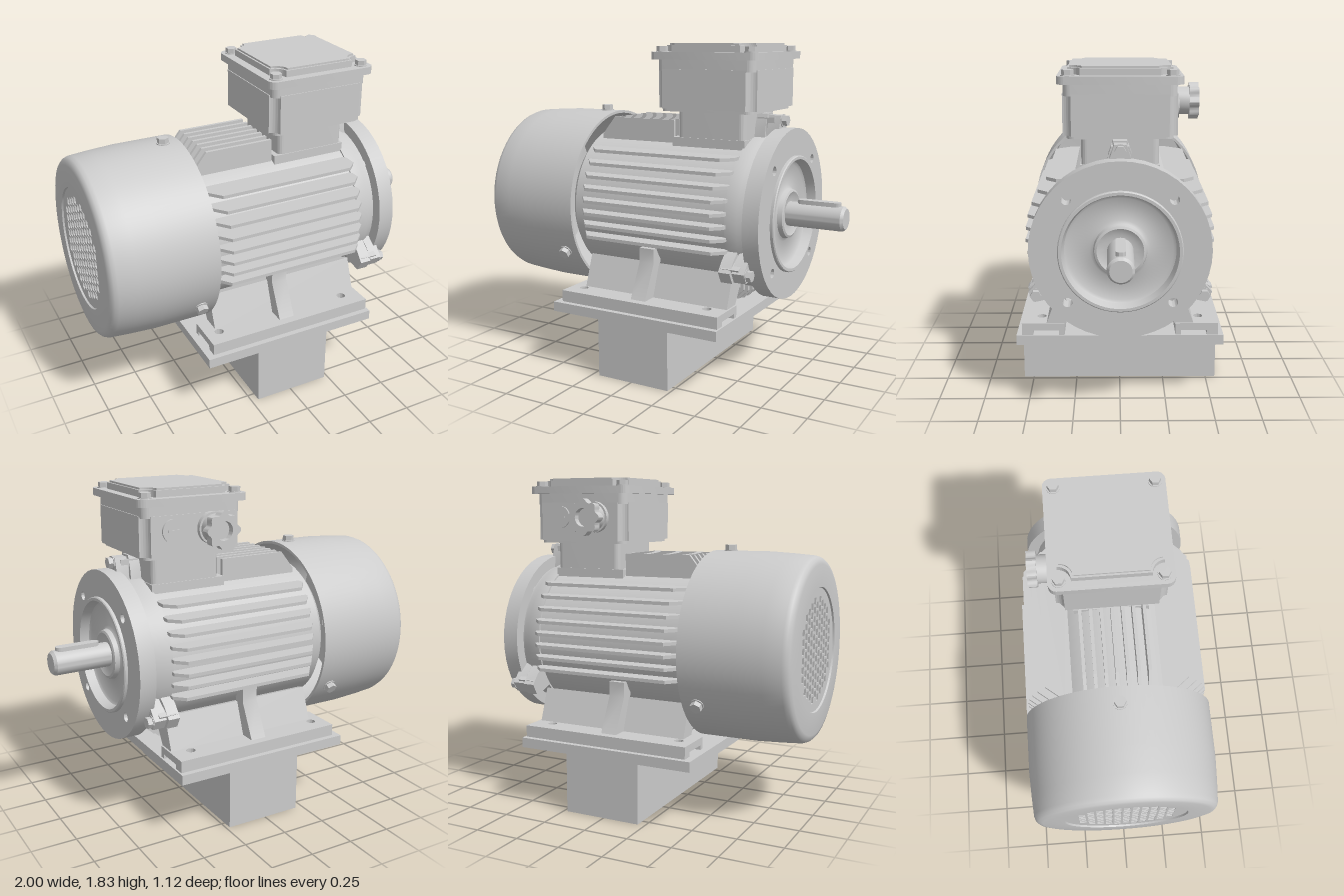
import * as THREE from 'three';
import { toCreasedNormals } from 'three/addons/utils/BufferGeometryUtils.js';

const MAT = new THREE.MeshStandardMaterial({ color: 0xcccccc, side: THREE.DoubleSide });
const AXIS = 0.915; // height of the shaft line
const V = (p) => p.map(([a, b]) => new THREE.Vector2(a, b));

function add(parent, name, geo, x = 0, y = 0, z = 0) {
  const m = new THREE.Mesh(toCreasedNormals(geo, 0.6), MAT);
  m.name = name;
  m.position.set(x, y, z);
  parent.add(m);
  return m;
}
const box = (x0, x1, y0, y1, z0, z1) =>
  new THREE.BoxGeometry(x1 - x0, y1 - y0, z1 - z0).translate((x0 + x1) / 2, (y0 + y1) / 2, (z0 + z1) / 2);
// [x, radius] profile turned about the x axis
const turned = (pts, seg = 72) =>
  new THREE.LatheGeometry(V(pts.map(([x, r]) => [r, x])), seg).rotateZ(-Math.PI / 2);
const extrude = (shape, depth) =>
  new THREE.ExtrudeGeometry(shape, { depth, bevelEnabled: false, curveSegments: 24 });
// (x, z) plan raised along y / (z, y) section drawn out along x
const plan = (shape, y0, y1) => extrude(shape, y1 - y0).rotateX(-Math.PI / 2).translate(0, y0, 0);
const section = (shape, x0, x1) => extrude(shape, x1 - x0).rotateY(Math.PI / 2).translate(x0, 0, 0);
const poly = (pts) => new THREE.Shape(V(pts));
const circle = (x, y, r, Type = THREE.Path) => new Type().absarc(x, y, r, 0, Math.PI * 2);
function roundRect(w, d, r) {
  const s = new THREE.Shape(), a = w / 2, b = d / 2, q = Math.PI / 2;
  s.absarc(a - r, b - r, r, 0, q).absarc(-a + r, b - r, r, q, 2 * q);
  s.absarc(-a + r, -b + r, r, 2 * q, 3 * q).absarc(a - r, -b + r, r, 3 * q, 4 * q);
  return s;
}
// rectangle with concave quarter-round corners
function scooped(w, d, r) {
  const s = new THREE.Shape(), a = w / 2, b = d / 2, q = Math.PI / 2;
  s.moveTo(a, b - r).absarc(a, b, r, 3 * q, 2 * q, true);
  s.lineTo(-a + r, b).absarc(-a, b, r, 4 * q, 3 * q, true);
  s.lineTo(-a, -b + r).absarc(-a, -b, r, q, 0, true);
  s.lineTo(a - r, -b).absarc(a, -b, r, 2 * q, q, true);
  return s;
}
// washer and hexagon head standing on y = 0
function bolt(parent, name, r, h) {
  const g = new THREE.Group();
  g.name = name;
  add(g, 'washer', new THREE.CylinderGeometry(r * 1.15, r * 1.15, h * 0.2, 24), 0, h * 0.1);
  add(g, 'hexHead', new THREE.CylinderGeometry(r, r, h * 0.8, 6), 0, h * 0.6);
  parent.add(g);
  return g;
}

function buildBase(root) {
  add(root, 'pedestalBlock', box(-0.21, 0.23, 0, 0.33, -0.555, 0.555));
  const plate = poly([[-0.51, -0.56], [0.52, -0.56], [0.52, 0.56], [-0.51, 0.56]]);
  for (const x of [-0.39, 0.4]) for (const z of [-0.43, 0.43]) {
    const slot = new THREE.Path();
    slot.absarc(x, z + 0.045, 0.025, 0, Math.PI).absarc(x, z - 0.045, 0.025, Math.PI, 2 * Math.PI);
    plate.holes.push(slot);
  }
  add(root, 'mountingPlate', plan(plate, 0.33, 0.385));

  for (const s of [-1, 1]) {
    const foot = new THREE.Group();
    foot.name = s > 0 ? 'frontFoot' : 'backFoot';
    const pts = (p) => poly(p.map(([z, y]) => [-s * z, y]));
    const pad = poly([[-0.47, -s * 0.3], [0.51, -s * 0.3], [0.51, -s * 0.53], [-0.47, -s * 0.53]]);
    for (const x of [-0.39, 0.4]) pad.holes.push(circle(x, -s * 0.43, 0.025));
    add(foot, 'footPad', plan(pad, 0.41, 0.45));
    for (const [a, b] of [[0.3, 0.33], [0.47, 0.53]])
      add(foot, 'padRunner', section(pts([[a, 0.385], [b, 0.385], [b, 0.41], [a, 0.41]]), -0.47, 0.51));
    add(foot, 'footWall', section(pts([[0.3, 0.44], [0.4, 0.44], [0.33, 0.63], [0.24, 0.6], [0.24, 0.54]]), -0.4, 0.5));
    add(foot, 'footRib', section(pts([[0.36, 0.44], [0.485, 0.45], [0.39, 0.64], [0.39, 0.72], [0.3, 0.72]]), -0.04, 0.05));
    root.add(foot);
  }
}

function buildHousing(m) {
  add(m, 'housingCore', turned([[-0.48, 0], [-0.48, 0.38], [-0.45, 0.41], [0.5, 0.41], [0.5, 0]]));

  // cooling fins with bevelled ends; angle turns them about the shaft line
  const fin = (name, d, outer, x1, c1, angle) => {
    const inner = Math.sqrt(0.41 ** 2 - d * d) - 0.03;
    const s = poly([[-0.41, inner], [-0.41, outer - 0.1], [-0.33, outer], [x1 - c1, outer], [x1, outer - c1], [x1, inner]]);
    const g = extrude(s, 0.018).translate(0, 0, d - 0.009).rotateX(angle);
    add(m, name, g);
  };
  for (let i = 0; i < 8; i++) {
    const d = -0.15 + i * 0.0675;
    const outer = Math.sqrt(0.502 ** 2 - d * d);
    fin('frontFin', -d, outer, 0.5, 0.055, Math.PI / 2);
    fin('backFin', d, outer, 0.5, 0.055, -Math.PI / 2);
  }
  for (let i = -3; i <= 3; i++) fin('topFin', i * 0.057, 0.495, 0.06, 0.003, 0);
  for (let i = -4; i <= 4; i++) fin('bottomFin', i * 0.06, Math.sqrt(0.5 ** 2 - (i * 0.06) ** 2), 0.5, 0.055, Math.PI);
}

function buildFanCover(m) {
  add(m, 'fanCover', turned([[-0.985, 0.33], [-1, 0.335], [-1, 0.455], [-0.994, 0.478], [-0.98, 0.492], [-0.96, 0.499],
    [-0.86, 0.507], [-0.72, 0.515], [-0.41, 0.515], [-0.41, 0.5], [-0.72, 0.5], [-0.97, 0.465], [-0.985, 0.33]], 96));
  // perforated grille, staggered square holes
  const disc = circle(0, 0, 0.34, THREE.Shape), p = 0.048, h = 0.018;
  for (let i = -6; i <= 6; i++) for (let j = -6; j <= 6; j++) {
    const z = i * p, y = (j + (i % 2 ? 0.5 : 0)) * p;
    if (Math.hypot(z, y) > 0.275) continue;
    disc.holes.push(new THREE.Path(V([[z - h, y - h], [z - h, y + h], [z + h, y + h], [z + h, y - h]])));
  }
  add(m, 'fanGrille', section(disc, -0.99, -0.975));
  for (let k = 0; k < 3; k++) {
    const a = k * Math.PI * 2 / 3, b = bolt(m, 'coverBolt', 0.032, 0.035);
    b.position.set(-0.5, 0.512 * Math.cos(a), 0.512 * Math.sin(a));
    b.rotation.x = a;
  }
}

function buildDriveEnd(m) {
  add(m, 'endShield', turned([[0.49, 0], [0.49, 0.42], [0.56, 0.42], [0.6, 0.4], [0.62, 0.4]]));
  const flange = circle(0, 0, 0.465, THREE.Shape);
  flange.holes.push(circle(0, 0, 0.3));
  for (const y of [-0.27, 0.27]) for (const z of [-0.27, 0.27]) flange.holes.push(circle(z, y, 0.025));
  add(m, 'flange', section(flange, 0.61, 0.7));
  add(m, 'flangeSpigot', turned([[0.69, 0.318], [0.715, 0.318], [0.72, 0.313], [0.72, 0.298], [0.67, 0.285],
    [0.66, 0.27], [0.655, 0.155], [0.665, 0.138], [0.69, 0.132], [0.695, 0.12], [0.68, 0.09], [0.68, 0.06]]));
  add(m, 'shaft', turned([[0.6, 0.067], [0.985, 0.067], [1, 0.055], [1, 0]], 48));
  const key = roundRect(0.24, 0.05, 0.0249);
  add(m, 'shaftKey', plan(key, 0.04, 0.085), 0.85);

  // three clamping lugs with bolts around the shield
  for (let k = 0; k < 3; k++) {
    const lug = new THREE.Group();
    lug.name = 'shieldLug';
    lug.rotation.x = k * Math.PI * 2 / 3;
    const s = poly([[-0.075, 0.36], [0.075, 0.36], [0.06, 0.47], [0.035, 0.54], [-0.035, 0.54], [-0.06, 0.47]]);
    add(lug, 'lugInner', section(s, 0.49, 0.555));
    add(lug, 'lugOuter', section(s, 0.562, 0.63).scale(1, 0.985, 0.9));
    add(lug, 'lugNeck', box(0.5, 0.6, 0.38, 0.52, -0.045, 0.045));
    const b = bolt(lug, 'lugBolt', 0.03, 0.032);
    b.position.set(0.628, 0.503, 0);
    b.rotation.z = -Math.PI / 2;
    m.add(lug);
  }
}

function buildTerminalBox(root) {
  const t = new THREE.Group();
  t.name = 'terminalBox';
  t.position.x = 0.295;
  add(t, 'neck', plan(roundRect(0.4, 0.4, 0.03), 1.22, 1.48));
  add(t, 'neckBase', box(-0.23, 0.205, 1.25, 1.32, -0.205, 0.205));
  add(t, 'boxFloor', plan(roundRect(0.54, 0.54, 0.04), 1.465, 1.49));
  add(t, 'boxBody', plan(scooped(0.58, 0.58, 0.045), 1.48, 1.69));
  add(t, 'boxRim', plan(roundRect(0.57, 0.57, 0.04), 1.68, 1.745));
  add(t, 'lidFlange', plan(roundRect(0.63, 0.63, 0.045), 1.74, 1.78));
  add(t, 'lidPanel', plan(scooped(0.53, 0.53, 0.065), 1.775, 1.815));
  add(t, 'lidPanelTop', plan(scooped(0.51, 0.51, 0.065), 1.81, 1.825));
  for (const x of [-0.26, 0.26]) for (const z of [-0.26, 0.26])
    bolt(t, 'lidBolt', 0.031, 0.032).position.set(x, 1.778, z);

  // cable gland and blanking plug on the back wall
  const rod = (r, z0, z1) => new THREE.CylinderGeometry(r, r, z0 - z1, 32).rotateX(Math.PI / 2).translate(0, 0, (z0 + z1) / 2);
  const gx = -0.105, gy = 1.61;
  add(t, 'glandCollar', rod(0.085, -0.28, -0.315), gx, gy);
  add(t, 'glandBody', rod(0.074, -0.3, -0.385), gx, gy);
  const lobes = [];
  for (let i = 0; i < 64; i++) {
    const a = i / 64 * Math.PI * 2, r = 0.09 + 0.009 * Math.cos(8 * a);
    lobes.push([r * Math.cos(a), r * Math.sin(a)]);
  }
  const nut = poly(lobes);
  nut.holes.push(circle(0, 0, 0.05));
  add(t, 'glandNut', extrude(nut, 0.05).translate(0, 0, -0.422), gx, gy);
  add(t, 'blankingPlug', rod(0.062, -0.28, -0.3), 0.12, gy);
  add(t, 'plugGrip', box(-0.03, 0.03, -0.006, 0.006, -0.305, -0.295), 0.12, gy);
  root.add(t);
}

export function createModel() {
  const root = new THREE.Group();
  root.name = 'electricMotor';
  const motor = new THREE.Group();
  motor.name = 'motor';
  motor.position.y = AXIS;
  root.add(motor);
  buildBase(root);
  buildHousing(motor);
  buildFanCover(motor);
  buildDriveEnd(motor);
  buildTerminalBox(root);
  return root;
}
